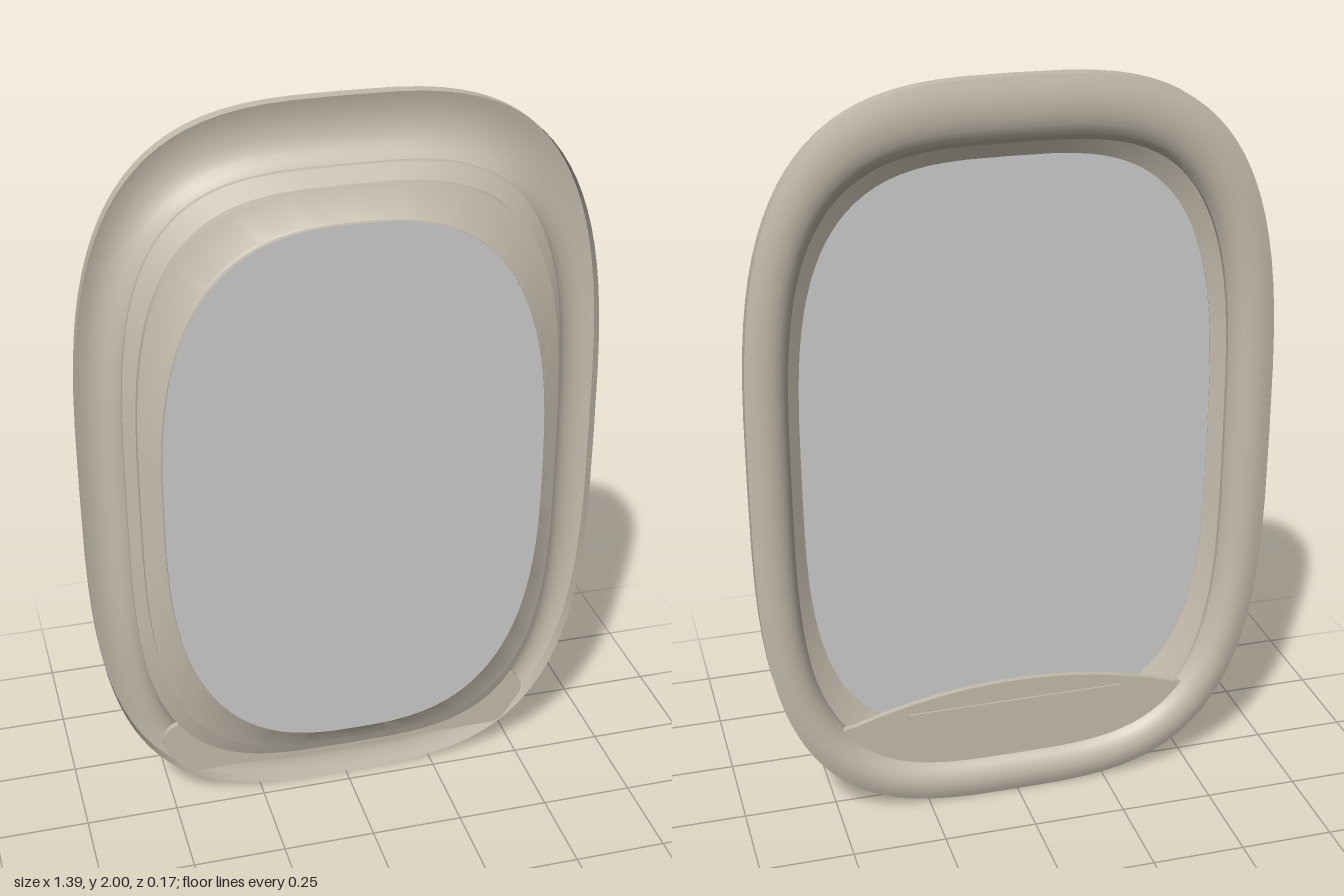
import * as THREE from 'three';
import { toCreasedNormals } from 'three/addons/utils/BufferGeometryUtils.js';

const SEG = 96;

// Rounded oval: half width w, from y0 to y1, squareness n
function oval({ w, y0, y1, n }) {
  const pts = [];
  const p = (v) => Math.sign(v) * Math.pow(Math.abs(v), 2 / n);
  for (let i = 0; i < SEG; i++) {
    const a = (i / SEG) * Math.PI * 2;
    pts.push(new THREE.Vector2(w * p(Math.cos(a)), (y0 + y1) / 2 + ((y1 - y0) / 2) * p(Math.sin(a))));
  }
  return pts;
}

// Skin through a list of [oval, z] sections
function loft(sections, crease) {
  const pos = [], idx = [];
  sections.forEach(([o, z]) => oval(o).forEach((p) => pos.push(p.x, p.y, z)));
  for (let r = 0; r < sections.length - 1; r++) {
    for (let i = 0; i < SEG; i++) {
      const a = r * SEG + i, b = r * SEG + ((i + 1) % SEG);
      idx.push(a, a + SEG, b, b, a + SEG, b + SEG);
    }
  }
  const g = new THREE.BufferGeometry();
  g.setAttribute('position', new THREE.Float32BufferAttribute(pos, 3));
  g.setIndex(idx);
  return toCreasedNormals(g, crease);
}

function mix(a, b, t) {
  const o = {};
  for (const k in a) o[k] = a[k] + (b[k] - a[k]) * t;
  return o;
}

export function createModel() {
  const group = new THREE.Group();
  const frameMat = new THREE.MeshStandardMaterial({ color: 0xc4bcad, side: THREE.DoubleSide });
  const paneMat = new THREE.MeshStandardMaterial({ color: 0xcccccc, side: THREE.DoubleSide });
  const add = (name, geo, mat, z = 0) => {
    const m = new THREE.Mesh(geo, mat);
    m.name = name;
    m.position.z = z;
    group.add(m);
    return m;
  };

  const outer = { w: 0.695, y0: 0, y1: 2, n: 3.2 };
  const ring = { w: 0.583, y0: 0.11, y1: 1.83, n: 3.5 };
  const step = { w: 0.556, y0: 0.175, y1: 1.795, n: 3.3 };
  const groove = { w: 0.55, y0: 0.183, y1: 1.785, n: 3.3 };
  const opening = { w: 0.505, y0: 0.24, y1: 1.72, n: 2.75 };

  // Hollow bezel: straight rim, nearly flat back face, rolled inner edge
  const bezel = [[0, -0.037], [0, -0.073], [0.12, -0.078], [0.28, -0.083], [0.45, -0.084],
    [0.6, -0.081], [0.73, -0.075], [0.84, -0.066], [0.93, -0.054], [1, -0.037]];
  add('bezel', loft(bezel.map(([t, z]) => [mix(outer, ring, t), z]), 0.8), frameMat);

  // Stepped sleeve narrowing towards the outer pane
  add('sleeve', loft([[ring, -0.037], [ring, -0.022], [groove, 0.006], [step, 0.012], [step, 0.038],
    [mix(opening, step, 0.06), 0.064], [opening, 0.068], [opening, 0.082]], 0.4), frameMat);

  // Two window panes, one at the waist of the sleeve and one at its end
  add('innerPane', new THREE.ShapeGeometry(new THREE.Shape(oval(groove))), paneMat, 0.008);
  add('outerPane', new THREE.ShapeGeometry(new THREE.Shape(oval(opening))), paneMat, 0.08);

  // Lowered shade: flat bottom, rounded ends, arched top
  const s = new THREE.Shape();
  s.moveTo(-0.43, 0.09);
  s.lineTo(0.43, 0.09);
  s.quadraticCurveTo(0.46, 0.09, 0.475, 0.115);
  s.lineTo(0.518, 0.18);
  s.quadraticCurveTo(0.53, 0.205, 0.51, 0.235);
  s.quadraticCurveTo(0.49, 0.26, 0.45, 0.262);
  s.quadraticCurveTo(0, 0.41, -0.45, 0.262);
  s.quadraticCurveTo(-0.49, 0.26, -0.51, 0.235);
  s.quadraticCurveTo(-0.53, 0.205, -0.518, 0.18);
  s.lineTo(-0.475, 0.115);
  s.quadraticCurveTo(-0.46, 0.09, -0.43, 0.09);
  const shadeGeo = new THREE.ExtrudeGeometry(s, { depth: 0.016, bevelEnabled: false, curveSegments: 16 });
  add('shade', toCreasedNormals(shadeGeo, 0.5), frameMat, -0.052);

  // Thin finger grip on the back of the shade
  const grip = add('shadeGrip', new THREE.BoxGeometry(0.6, 0.014, 0.008), frameMat, -0.053);
  grip.position.y = 0.27;

  return group;
}
